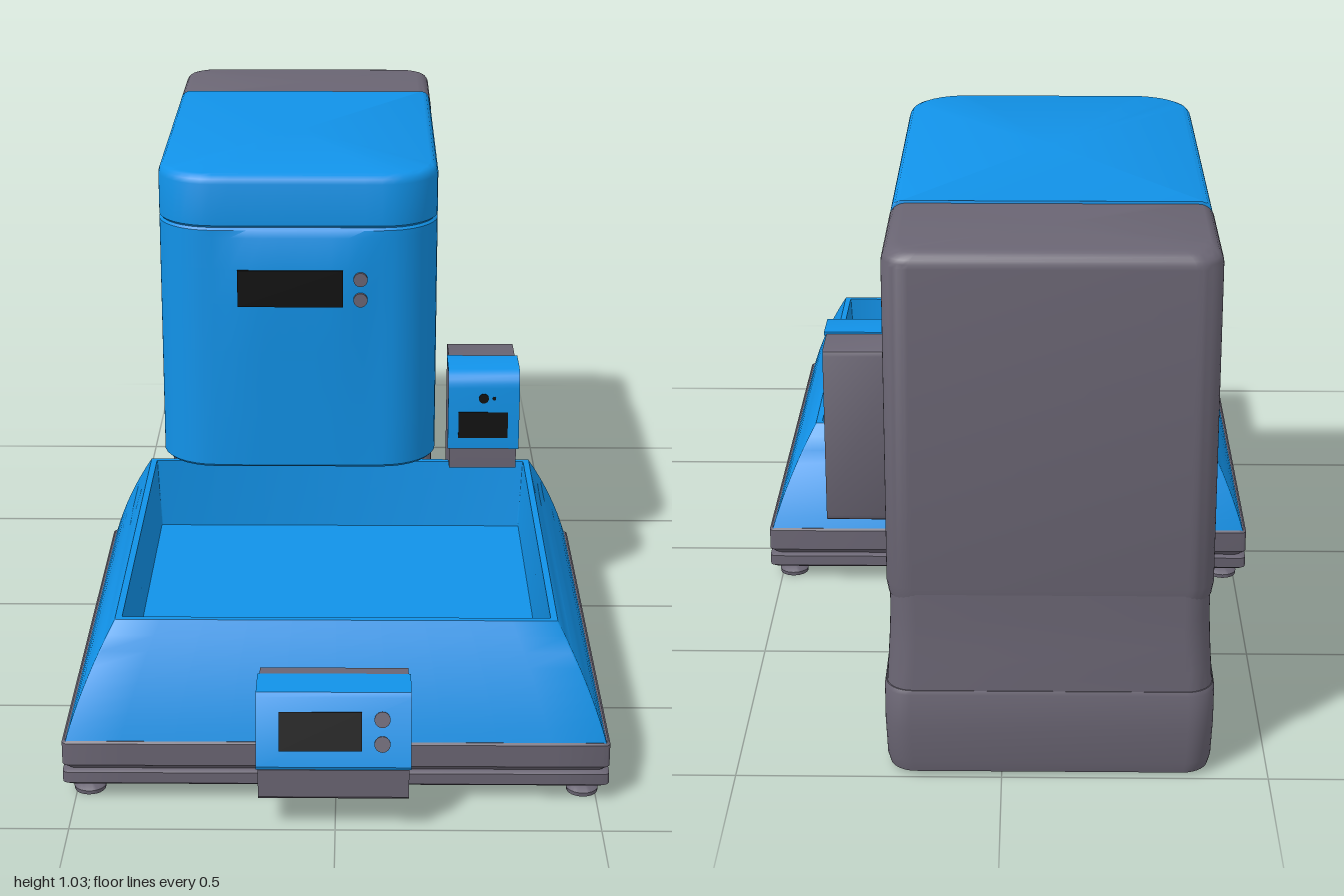
import * as THREE from 'three';
import { toCreasedNormals } from 'three/addons/utils/BufferGeometryUtils.js';

const blue = new THREE.MeshStandardMaterial({ color: 0x1192e8 });
const grey = new THREE.MeshStandardMaterial({ color: 0x6a6573 });
const black = new THREE.MeshStandardMaterial({ color: 0x111111 });

// Rounded rectangle in x/z; the front edge may bulge forward
function outline({ x0, x1, z0, z1, rb = 0.003, rf = 0.003, bulge = 0 }) {
  const pts = [], n = 8, m = 10;
  const corners = [[x1 - rf, z1 - rf, rf], [x0 + rf, z1 - rf, rf], [x0 + rb, z0 + rb, rb], [x1 - rb, z0 + rb, rb]];
  corners.forEach(([cx, cz, r], k) => {
    for (let i = 0; i <= n; i++) {
      const a = (k + i / n) * Math.PI / 2;
      pts.push([cx + r * Math.cos(a), cz + r * Math.sin(a)]);
    }
    if (k === 0) {
      for (let i = 1; i < m; i++) {
        const t = i / m;
        pts.push([x1 - rf + (x0 - x1 + 2 * rf) * t, z1 + bulge * Math.min(1, 1.5 * Math.sin(Math.PI * t))]);
      }
    }
  });
  return pts;
}

// Skin a stack of outlines and cap both ends
function loft(sections, crease = 0.6) {
  const pos = [], idx = [];
  const rings = sections.map(outline), n = rings[0].length;
  rings.forEach((ring, k) => ring.forEach(([x, z]) => pos.push(x, sections[k].y, z)));
  for (let k = 0; k < rings.length - 1; k++) {
    for (let i = 0; i < n; i++) {
      const a = k * n + i, b = k * n + (i + 1) % n;
      idx.push(a, a + n, b, a + n, b + n, b);
    }
  }
  for (const k of [0, rings.length - 1]) {
    const s = sections[k], c = pos.length / 3;
    pos.push((s.x0 + s.x1) / 2, s.y, (s.z0 + s.z1) / 2);
    for (let i = 0; i < n; i++) {
      const a = k * n + i, b = k * n + (i + 1) % n;
      idx.push(c, k ? b : a, k ? a : b);
    }
  }
  const g = new THREE.BufferGeometry();
  g.setAttribute('position', new THREE.Float32BufferAttribute(pos, 3));
  g.setIndex(idx);
  return toCreasedNormals(g, crease);
}

// Extrude a [z, y] side profile across x
function across(profile, x0, x1) {
  const shape = new THREE.Shape(profile.map(([z, y]) => new THREE.Vector2(z, y)));
  const g = new THREE.ExtrudeGeometry(shape, { depth: x1 - x0, bevelEnabled: false });
  return toCreasedNormals(g.rotateY(-Math.PI / 2).translate(x1, 0, 0), 0.6);
}

// Quarter arc of [z, y] points from the front face to the top face
const arc = (cz, cy, r) => Array.from({ length: 7 }, (_, i) => {
  const a = i / 6 * Math.PI / 2;
  return [cz + r * Math.cos(a), cy + r * Math.sin(a)];
});

export function createModel() {
  const model = new THREE.Group();
  const add = (name, geometry, material, parent = model) => {
    const mesh = new THREE.Mesh(geometry, material);
    mesh.name = name;
    parent.add(mesh);
    return mesh;
  };
  const disc = (name, x, y, z, r, material, parent) =>
    add(name, new THREE.CylinderGeometry(r, r, 0.008, 24).rotateX(Math.PI / 2), material, parent).position.set(x, y, z);
  const screen = (name, x0, x1, y0, y1, z, parent) =>
    add(name, new THREE.BoxGeometry(x1 - x0, y1 - y0, 0.008), black, parent).position.set((x0 + x1) / 2, (y0 + y1) / 2, z);

  // Tower: foot with a concave flare into the pedestal
  const base = (y, d, zFront) => ({ y, x0: -0.385 - d, x1: 0.207 + d, z0: -0.988 - d, z1: zFront, rb: 0.05, rf: 0.02 });
  add('towerFoot', loft([
    base(0.008, 0.004, -0.175), base(0.03, 0.009, -0.17), base(0.1, 0.012, -0.17),
    base(0.172, 0.012, -0.17), base(0.18, 0.009, -0.173),
  ]), grey);
  add('pedestal', loft([
    base(0.17, 0.008, -0.18), base(0.22, 0.005, -0.185), base(0.27, 0.002, -0.19),
    base(0.32, 0, -0.198), base(0.39, 0, -0.2),
  ], 0.8), grey);

  // Rear column: back and sides round over at the top, front edge stays square
  const column = (y, d) => ({ y, x0: -0.391 + d, x1: 0.213 - d, z0: -0.99 + d, z1: -0.68, rb: 0.05 });
  const rearTop = [0, 1, 2, 3, 4, 5, 6].map(i => {
    const a = i / 6 * Math.PI / 2;
    return column(1.0 + 0.03 * Math.sin(a), 0.03 * (1 - Math.cos(a)));
  });
  add('rearColumn', loft([column(0.36, 0.004), column(0.385, 0), ...rearTop]), grey);

  // Hopper body, bulging slightly at the display, and its lid
  const hopper = (y, d = 0, bulge = 0) =>
    ({ y, x0: -0.387 + d, x1: 0.21 - d, z0: -0.69, z1: 0.118 - d, rf: 0.12 - d, bulge });
  add('hopperBody', loft([
    hopper(0.383, 0.006), hopper(0.389, 0, 0.003), hopper(0.5, 0, 0.006), hopper(0.65, 0, 0.011), hopper(0.755, 0, 0.015),
    hopper(0.832, 0, 0.015), hopper(0.9, 0, 0.005), hopper(0.916, 0), hopper(0.921, 0.005),
  ]), blue);
  add('hopperLid', loft([
    hopper(0.921, 0.005), hopper(0.926), hopper(1.015), hopper(1.025, 0.003), hopper(1.032, 0.009), hopper(1.035, 0.017),
  ]), blue);
  screen('hopperDisplay', -0.215, 0.008, 0.753, 0.833, 0.132);
  for (const y of [0.768, 0.813]) disc('hopperButton', 0.045, y, 0.132, 0.015, grey);

  // Scale platform: two stacked plates on four feet
  const plate = (y, d) => ({ y, x0: -0.524 + d, x1: 0.524 - d, z0: -0.157 + d, z1: 0.885 - d, rb: 0.012, rf: 0.012 });
  add('lowerPlate', loft([plate(0.028, 0.008), plate(0.034, 0), plate(0.056, 0), plate(0.06, 0.006)]), grey);
  add('upperPlate', loft([plate(0.06, 0.012), plate(0.072, 0), plate(0.117, 0), plate(0.121, 0.004)]), grey);
  const footProfile = [[0, 0], [0.03, 0], [0.031, 0.008], [0.022, 0.014], [0.012, 0.018], [0.012, 0.022], [0.02, 0.024], [0.02, 0.032], [0, 0.032]]
    .map(p => new THREE.Vector2(...p));
  for (const x of [-0.476, 0.476]) {
    for (const z of [-0.11, 0.84]) {
      add('levellingFoot', toCreasedNormals(new THREE.LatheGeometry(footProfile, 24), 0.6), grey).position.set(x, 0, z);
    }
  }

  // Tray: gently convex outer slope, thin rim, vertical inner wall and floor
  const ring = (y, d) => ({ y, x0: -0.517 + d, x1: 0.517 - d, z0: -0.153 + d, z1: 0.881 - d });
  const slope = Array.from({ length: 9 }, (_, i) => {
    const t = i / 8;
    return ring(0.119 + 0.214 * t, 0.093 * t - 0.03 * t * (1 - t));
  });
  add('tray', loft([...slope, ring(0.333, 0.106), ring(0.18, 0.114)]), blue);

  // Front control panel with a sloping face
  add('panelBracket', across([[1.0, 0.126], [1.0, 0.07], [0.994, 0.064], [0.87, 0.064], [0.87, 0.15], [0.848, 0.262], [0.876, 0.262], [0.92, 0.126]].reverse(), -0.144, 0.138), grey);
  add('panelCover', across([[0.92, 0.126], [0.998, 0.126], [1.0, 0.132], [0.96, 0.255], [0.952, 0.263], [0.875, 0.263]], -0.148, 0.142), blue);
  const face = new THREE.Group();
  face.name = 'panelFace';
  face.position.set(0, 0.195, 0.979);
  face.rotation.x = -Math.atan2(0.04, 0.123);
  model.add(face);
  screen('panelDisplay', -0.105, 0.05, -0.036, 0.037, 0, face);
  for (const y of [-0.023, 0.023]) disc('panelButton', 0.088, y, 0, 0.015, grey, face);

  // Camera head: grey housing behind a thin blue front cover
  add('cameraHousing', across([
    [0, 0.337], ...arc(-0.03, 0.53, 0.03), [-0.2, 0.56], [-0.209, 0.556], [-0.213, 0.547],
    [-0.213, 0.18], [-0.209, 0.17], [-0.2, 0.165], [-0.17, 0.165], [-0.157, 0.172], [-0.147, 0.19],
    [-0.08, 0.32], [-0.066, 0.333], [-0.05, 0.337],
  ], 0.243, 0.391), grey);
  add('cameraCover', across([
    [0.008, 0.385], ...arc(-0.03, 0.526, 0.038), [-0.108, 0.564], [-0.108, 0.556],
    ...arc(-0.03, 0.526, 0.03).reverse(), [0, 0.385],
  ], 0.239, 0.396), blue);
  screen('cameraDisplay', 0.262, 0.371, 0.411, 0.471, 0.006);
  disc('cameraLens', 0.317, 0.503, 0.006, 0.011, black);
  disc('cameraIndicator', 0.34, 0.503, 0.006, 0.004, black);

  return model;
}
